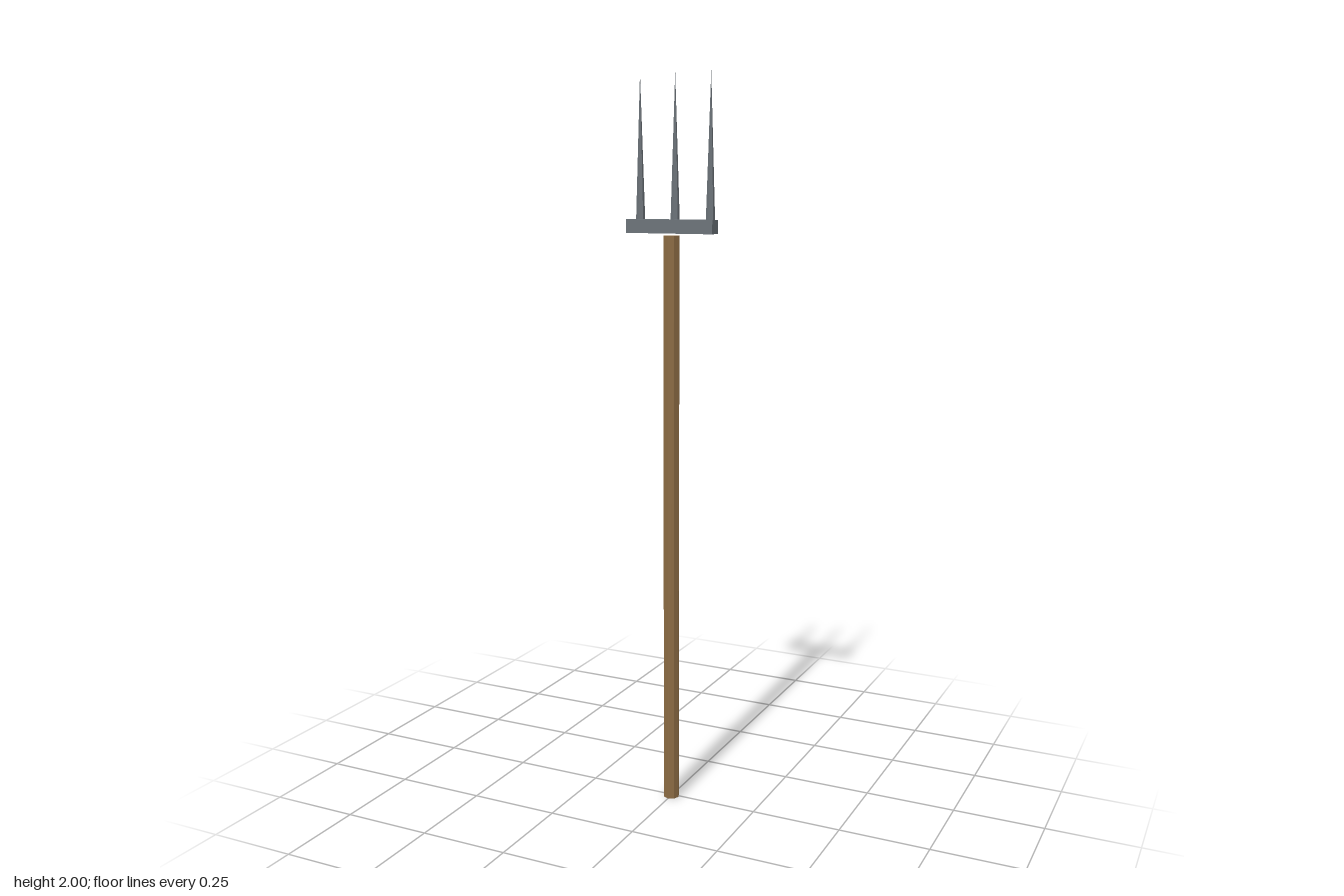
import * as THREE from 'three';

const wood = new THREE.MeshStandardMaterial({ color: 0x8b6b43, flatShading: true });
const steel = new THREE.MeshStandardMaterial({ color: 0x6b7278, flatShading: true });

function addPart(group, name, geometry, material, x, y, z) {
  const mesh = new THREE.Mesh(geometry, material);
  mesh.name = name;
  mesh.position.set(x, y, z);
  group.add(mesh);
}

export function createModel() {
  const group = new THREE.Group();
  group.name = 'pitchfork';

  // Eight-sided wooden handle
  const handleHeight = 1.58;
  addPart(group, 'handle', new THREE.CylinderGeometry(0.0225, 0.0225, handleHeight, 8),
    wood, 0, handleHeight / 2, 0.006);

  // Crossbar floating just above the handle
  addPart(group, 'crossbar', new THREE.BoxGeometry(0.25, 0.036, 0.036), steel, 0, 1.604, 0.005);

  // Three six-sided tines set against the back of the crossbar
  const tineBase = 1.61;
  const tine = new THREE.ConeGeometry(0.0125, 2 - tineBase, 6);
  [['rightTine', -0.102], ['middleTine', 0], ['leftTine', 0.102]].forEach(([name, x]) =>
    addPart(group, name, tine, steel, x, (2 + tineBase) / 2, -0.017));

  return group;
}
